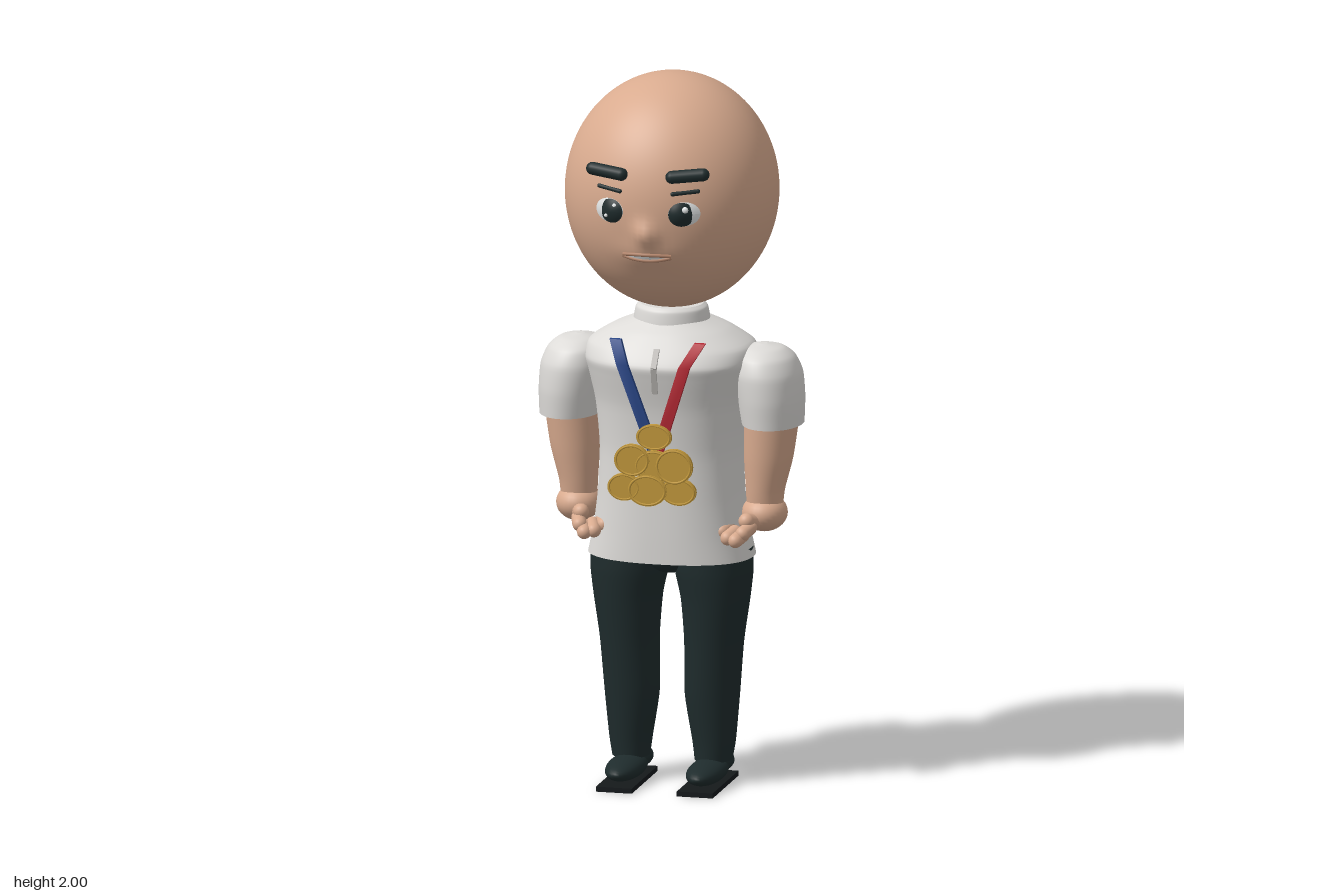
import * as THREE from 'three';

const mat = (name, color) => Object.assign(new THREE.MeshStandardMaterial({ color }), { name });
const skin = mat('skin', 0xd9ab8f), shirt = mat('shirt', 0xdddbd8), dark = mat('dark cloth', 0x1f2c2d);
const sole = mat('sole', 0x15191b), gold = mat('gold', 0xc2983c), blue = mat('blue ribbon', 0x2a4788);
const red = mat('red ribbon', 0xb52934), white = mat('eye white', 0xe9ecec);
const lip = mat('lip', 0xb08268), zip = mat('zip', 0xb9b6b2);

const HEAD_Y = 1.672, RX = 0.295, RY = 0.328;

function add(parent, name, geometry, material, x = 0, y = 0, z = 0) {
  const m = new THREE.Mesh(geometry, material);
  m.name = name;
  m.position.set(x, y, z);
  parent.add(m);
  return m;
}

function ball(parent, name, material, p, r) {
  const m = add(parent, name, new THREE.SphereGeometry(1, 28, 20), material, ...p);
  m.scale.set(...r);
  return m;
}

// Rounded rod between two points
function rod(parent, name, material, a, b, r) {
  const A = new THREE.Vector3(...a), B = new THREE.Vector3(...b), d = B.clone().sub(A);
  const m = add(parent, name, new THREE.CapsuleGeometry(r, d.length(), 8, 16), material);
  m.position.copy(A).lerp(B, 0.5);
  m.quaternion.setFromUnitVectors(new THREE.Vector3(0, 1, 0), d.normalize());
  return m;
}

// Smooth body through rings [y, cx, cz, rx, rz], bottom to top, with flat caps
function loft(rings, power = 1, sides = 48) {
  const a = new THREE.CatmullRomCurve3(rings.map(r => new THREE.Vector3(r[0], r[3], r[4])), false, 'catmullrom', 0.35);
  const c = new THREE.CatmullRomCurve3(rings.map(r => new THREE.Vector3(r[1], r[2], 0)), false, 'catmullrom', 0.35);
  const rows = (rings.length - 1) * 5, pos = [], idx = [];
  const sp = v => Math.sign(v) * Math.abs(v) ** power;
  const ring = t => {
    const p = a.getPoint(t), q = c.getPoint(t);
    for (let j = 0; j < sides; j++) {
      const w = j / sides * Math.PI * 2;
      pos.push(q.x + p.y * sp(Math.cos(w)), p.x, q.y + p.z * sp(Math.sin(w)));
    }
    return [q.x, p.x, q.y];
  };
  for (let i = 0; i <= rows; i++) ring(i / rows);
  for (let i = 0; i < rows; i++) for (let j = 0; j < sides; j++) {
    const k = (j + 1) % sides, p = i * sides, q = p + sides;
    idx.push(p + j, q + j, p + k, p + k, q + j, q + k);
  }
  for (const t of [0, 1]) {
    const s = pos.length / 3, mid = ring(t), m = s + sides;
    pos.push(...mid);
    for (let j = 0; j < sides; j++) {
      const k = (j + 1) % sides;
      if (t) idx.push(m, s + k, s + j); else idx.push(m, s + j, s + k);
    }
  }
  const g = new THREE.BufferGeometry();
  g.setAttribute('position', new THREE.Float32BufferAttribute(pos, 3));
  g.setIndex(idx);
  g.computeVertexNormals();
  return g;
}

function warp(g, rule) {
  const p = g.attributes.position, v = new THREE.Vector3();
  for (let i = 0; i < p.count; i++) {
    rule(v.fromBufferAttribute(p, i));
    p.setXYZ(i, v.x, v.y, v.z);
  }
  g.computeVertexNormals();
  return g;
}

// Nose and mouth bulges on the front of the head
const bulge = (x, y) => 0.026 * Math.exp(-((x / 0.03) ** 2) - ((y - 1.605) / 0.034) ** 2)
  + 0.012 * Math.exp(-((x / 0.08) ** 2) - ((y - 1.545) / 0.04) ** 2);
const faceZ = (x, y) => 0.297 * Math.sqrt(Math.max(0, 1 - (x / RX) ** 2 - ((y - HEAD_Y) / RY) ** 2)) + bulge(x, y);

// Oval plate lying on the face, slightly domed
function facePlate(parent, name, material, x, y, rx, ry, lift, dome = 0) {
  const g = warp(new THREE.RingGeometry(0, 1, 32, 5), v => {
    const d = dome * (1 - v.x * v.x - v.y * v.y);
    v.set(x + v.x * rx, y + v.y * ry, 0);
    v.z = faceZ(v.x, v.y) + lift + d;
  });
  return add(parent, name, g, material);
}

function buildHead() {
  const head = new THREE.Group();
  head.name = 'head';
  add(head, 'skull', warp(new THREE.SphereGeometry(1, 96, 72), v => {
    const front = v.z > 0;
    v.set(v.x * RX, HEAD_Y + v.y * RY, v.z * (front ? 0.297 : 0.314));
    if (front) v.z += bulge(v.x, v.y) * Math.min(1, v.z / 0.1);
  }), skin);
  for (const s of [-1, 1]) {
    facePlate(head, 'eyeWhite', white, s * 0.106, 1.668, 0.042, 0.034, 0.002, 0.008);
    facePlate(head, 'iris', dark, s * 0.1, 1.667, 0.035, 0.034, 0.004, 0.011);
    ball(head, 'eyeGlint', white, [s * 0.1 + 0.012, 1.682, faceZ(0.106, 1.68) + 0.012], [0.009, 0.009, 0.006]);
    ball(head, 'eyeSpark', white, [s * 0.1 - 0.013, 1.655, faceZ(0.1, 1.655) + 0.012], [0.005, 0.005, 0.004]);
    rod(head, 'eyebrow', dark, [s * 0.072, 1.771, 0.28], [s * 0.157, 1.78, 0.266], 0.018);
    rod(head, 'eyelid', dark, [s * 0.075, 1.724, faceZ(0.075, 1.724)], [s * 0.14, 1.73, faceZ(0.14, 1.73)], 0.006);
  }
  // Mouth: pale gap between two lips
  facePlate(head, 'teeth', white, 0, 1.54, 0.058, 0.009, 0.003);
  for (const [y, bend] of [[1.549, -0.004], [1.531, 0.009]]) {
    const pts = [-1, -0.5, 0, 0.5, 1].map(t => {
      const x = t * 0.068, yy = y + bend * t * t;
      return new THREE.Vector3(x, yy, faceZ(x, yy) + 0.003);
    });
    add(head, 'lip', new THREE.TubeGeometry(new THREE.CatmullRomCurve3(pts), 24, 0.005, 8), lip);
  }
  return head;
}

function buildArm(s) {
  const arm = new THREE.Group();
  arm.name = s > 0 ? 'leftArm' : 'rightArm';
  add(arm, 'sleeve', loft([[1.028, s * 0.288, 0, 0.084, 0.116], [1.1, s * 0.283, 0, 0.091, 0.123],
    [1.17, s * 0.274, 0, 0.094, 0.12], [1.215, s * 0.266, 0, 0.082, 0.1],
    [1.24, s * 0.262, 0, 0.055, 0.062], [1.25, s * 0.26, 0, 0.012, 0.012]]), shirt);
  add(arm, 'forearm', loft([[0.79, s * 0.264, 0, 0.05, 0.05], [0.84, s * 0.266, 0, 0.054, 0.058],
    [0.93, s * 0.275, 0, 0.068, 0.07], [1.05, s * 0.284, 0, 0.077, 0.08]]), skin);
  ball(arm, 'palm', skin, [s * 0.264, 0.772, 0], [0.063, 0.052, 0.072]);
  rod(arm, 'thumb', skin, [s * 0.25, 0.755, 0.05], [s * 0.235, 0.765, 0.09], 0.022);
  // Curled fingers
  [[0.168, 0.735, 0.1], [0.19, 0.722, 0.125], [0.215, 0.718, 0.135], [0.232, 0.736, 0.12]].forEach(([x, y, z]) =>
    rod(arm, 'finger', skin, [s * (x + 0.012), y + 0.01, z - 0.035], [s * x, y, z], 0.02));
  return arm;
}

function buildLeg(s) {
  const leg = new THREE.Group();
  leg.name = s > 0 ? 'leftLeg' : 'rightLeg';
  add(leg, 'trouserLeg', loft([[0.065, s * 0.117, -0.005, 0.052, 0.058], [0.12, s * 0.118, -0.007, 0.06, 0.066],
    [0.25, s * 0.114, -0.004, 0.076, 0.08], [0.4, s * 0.12, 0, 0.082, 0.092],
    [0.52, s * 0.124, 0, 0.095, 0.106], [0.6, s * 0.12, 0, 0.108, 0.115], [0.67, s * 0.116, 0, 0.112, 0.117]]), dark);
  add(leg, 'sole', new THREE.BoxGeometry(0.102, 0.014, 0.285), sole, s * 0.115, 0.007, 0.053);
  ball(leg, 'shoe', dark, [s * 0.115, 0.043, 0.055], [0.052, 0.032, 0.128]);
  ball(leg, 'heel', dark, [s * 0.115, 0.056, -0.03], [0.053, 0.034, 0.06]);
  return leg;
}

function buildMedal() {
  const medal = new THREE.Group();
  medal.name = 'medal';
  // Ribbons follow the chest, over the bust and down behind the discs
  const path = [[0, 0.95, 0.176], [0.088, 1.215, 0.207], [0.12, 1.275, 0.155]];
  for (const s of [-1, 1]) {
    add(medal, 'ribbon', warp(new THREE.BoxGeometry(0.032, 2, 0.014, 1, 2, 1), v => {
      const p = path[Math.round(v.y + 1)];
      v.set(v.x + s * p[0], p[1], v.z + p[2]);
    }), s < 0 ? blue : red);
  }
  [[0, 1.013, 0.05, 0.036], [-0.062, 0.945, 0.05, 0.045], [0.058, 0.933, 0.053, 0.05], [0, 0.93, 0.055, 0.045],
    [-0.085, 0.868, 0.046, 0.038], [-0.018, 0.862, 0.056, 0.044], [0.07, 0.862, 0.05, 0.038]
  ].forEach(([x, y, rx, ry], i) => {
    const z = 0.197 + (i % 3) * 0.002;
    const disc = add(medal, 'medalDisc', new THREE.CylinderGeometry(1, 1, 0.012, 32), gold, x, y, z);
    disc.rotation.x = Math.PI / 2;
    disc.scale.set(rx, 1, ry);
    const rim = add(medal, 'medalRim', new THREE.TorusGeometry(0.9, 0.07, 8, 32), gold, x, y, z + 0.005);
    rim.scale.set(rx, ry, 0.06);
  });
  return medal;
}

export function createModel() {
  const model = new THREE.Group();
  model.name = 'figure';
  model.add(buildHead());
  // Shirt with a ridge across chest and back
  add(model, 'torso', loft([[0.645, 0, -0.002, 0.232, 0.166], [0.72, 0, 0, 0.216, 0.164], [0.82, 0, 0.003, 0.203, 0.16],
    [0.95, 0, 0, 0.198, 0.163], [1.08, 0, -0.003, 0.21, 0.178], [1.17, 0, -0.003, 0.232, 0.197],
    [1.205, 0, -0.003, 0.24, 0.202], [1.245, 0, 0, 0.228, 0.172], [1.285, 0, 0, 0.165, 0.135],
    [1.312, 0, 0, 0.1, 0.1]], 0.85, 64), shirt);
  add(model, 'collar', loft([[1.295, 0, 0, 0.108, 0.108], [1.32, 0, 0, 0.104, 0.104], [1.342, 0, 0, 0.099, 0.099],
    [1.352, 0, 0, 0.088, 0.088]]), shirt);
  // Zip on the chest
  const zipper = add(model, 'zip', new THREE.BoxGeometry(0.016, 0.075, 0.008), zip, 0, 1.17, 0.194);
  zipper.rotation.x = 0.2;
  const zipTop = add(model, 'zipTop', new THREE.BoxGeometry(0.016, 0.06, 0.008), zip, 0, 1.23, 0.185);
  zipTop.rotation.x = -0.65;
  ball(model, 'crotch', dark, [0, 0.645, 0], [0.068, 0.055, 0.11]);
  for (const s of [-1, 1]) model.add(buildArm(s), buildLeg(s));
  model.add(buildMedal());
  return model;
}
